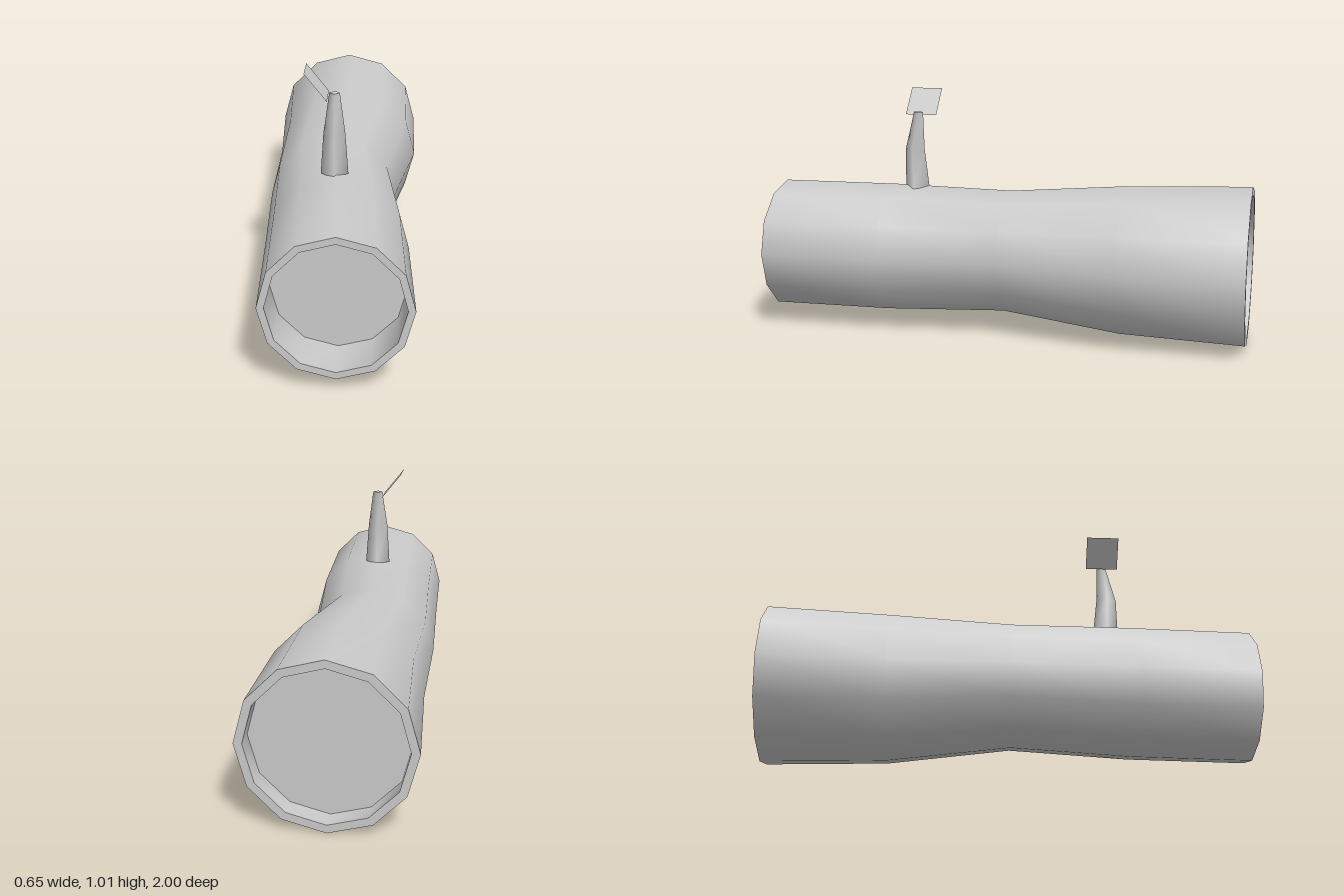
import * as THREE from 'three';

const material = new THREE.MeshStandardMaterial({ color: 0xcccccc, side: THREE.DoubleSide });

// Skin over a row of polygon rings [z, centreX, centreY, radius], smooth, facing outwards as z grows
function loft(rings, sides) {
  const pos = [], index = [];
  rings.forEach(([z, cx, cy, r], i) => {
    for (let j = 0; j < sides; j++) {
      const a = (j / sides) * Math.PI * 2;
      pos.push(cx + r * Math.cos(a), cy + r * Math.sin(a), z);
      if (i === rings.length - 1) continue;
      const p = i * sides + j, q = i * sides + ((j + 1) % sides);
      index.push(p, q, q + sides, p, q + sides, p + sides);
    }
  });
  const g = new THREE.BufferGeometry();
  g.setAttribute('position', new THREE.Float32BufferAttribute(pos, 3));
  g.setIndex(index);
  g.computeVertexNormals();
  return g;
}

export function createModel() {
  const model = new THREE.Group();
  const add = (parent, name, geometry) => {
    const mesh = new THREE.Mesh(geometry, material);
    mesh.name = name;
    parent.add(mesh);
    return mesh;
  };
  const SIDES = 12, CY = 0.33;

  // Bent trunk, rear to front
  const trunk = [
    [-1, 0, CY, 0.327],
    [-0.5, 0.015, CY, 0.31],
    [0, -0.028, CY, 0.262],
    [0.5, 0.013, CY, 0.277],
    [1, 0.035, CY, 0.277],
  ];
  add(model, 'trunk', loft(trunk, SIDES));

  // Hollow ends: rim, short inner wall and recessed wood face
  const ends = [
    { name: 'front', outer: trunk[4], inner: 0.25, depth: 0.18, dir: 1 },
    { name: 'rear', outer: trunk[0], inner: 0.295, depth: 0.08, dir: -1 },
  ];
  for (const { name, outer, inner, depth, dir } of ends) {
    const [z, cx, cy] = outer;
    const lip = [z, cx, cy, inner];
    const deep = [z - dir * depth, cx, cy, inner];
    const ordered = (a, b) => (dir > 0 ? [a, b] : [b, a]);
    add(model, name + 'Rim', loft(ordered(outer, lip), SIDES));
    add(model, name + 'InnerWall', loft(ordered(lip, deep), SIDES));
    const face = add(model, name + 'Face', new THREE.CircleGeometry(inner, SIDES));
    face.position.set(cx, cy, deep[0]);
    if (dir < 0) face.rotation.y = Math.PI;
  }

  // Four-sided twig, lofted along z and then stood upright
  const twig = new THREE.Group();
  twig.name = 'twig';
  twig.rotation.x = -Math.PI / 2;
  add(twig, 'twigStem', loft([
    [0.595, 0, -0.408, 0.053],
    [0.76, 0, -0.417, 0.042],
    [0.918, 0, -0.4, 0.02],
  ], 4));
  add(twig, 'twigTip', new THREE.CircleGeometry(0.02, 4)).position.set(0, -0.4, 0.918);
  model.add(twig);

  // Flat leaf leaning away from the twig tip
  const dx = -0.085, dy = 0.107;
  const leaf = add(model, 'leaf', new THREE.PlaneGeometry(Math.hypot(dx, dy), 0.136));
  leaf.geometry.rotateX(-Math.PI / 2);
  leaf.rotation.z = Math.atan2(-dy, -dx);
  leaf.position.set(-0.068, 0.957, 0.398);

  return model;
}
